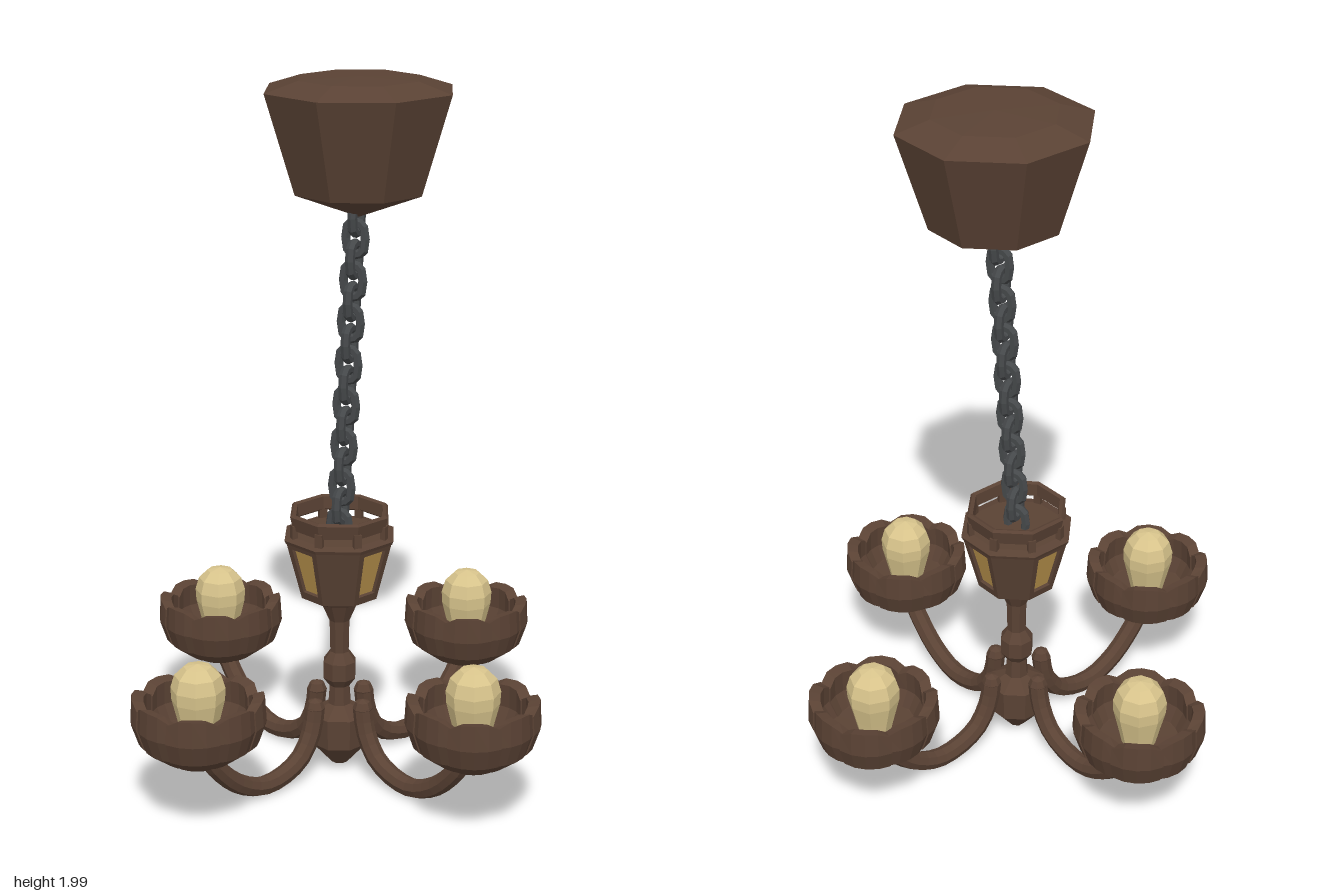
import * as THREE from 'three';

const mat = (color) => new THREE.MeshStandardMaterial({ color, flatShading: true });
const bronze = mat(0x5a4234);
const iron = mat(0x45484a);
const glass = mat(0xd8c48c);
const amber = mat(0xb8924c);
const OCT = Math.cos(Math.PI / 8);

function add(parent, name, geometry, material) {
  const mesh = new THREE.Mesh(geometry, material);
  mesh.name = name;
  parent.add(mesh);
  return mesh;
}

// Eight-sided turned form with flats on the axes; radii are given to the flats
function octagon(points) {
  const g = new THREE.LatheGeometry(points.map(([r, y]) => new THREE.Vector2(r / OCT, y)), 8);
  return g.rotateY(Math.PI / 8);
}

// Thick cup petal: a closed [radius, height] section swept through a short arc
function petalGeometry() {
  const section = [[0.04, 0.195], [0.1, 0.205], [0.162, 0.25], [0.182, 0.31], [0.178, 0.383],
    [0.146, 0.376], [0.148, 0.31], [0.12, 0.258], [0.04, 0.235]];
  const steps = 4, n = section.length, pos = [], idx = [];
  for (let i = 0; i <= steps; i++) {
    const t = i / steps * 2 - 1, a = t * 0.42;
    for (const [r, y] of section) {
      const drop = y > 0.35 ? 0.02 * t * t * Math.abs(t) : 0;
      const rr = r * (1 - 0.04 * t * t);
      pos.push(rr * Math.sin(a), y - drop, rr * Math.cos(a));
    }
  }
  for (let i = 0; i < steps; i++) {
    for (let j = 0; j < n; j++) {
      const a = i * n + j, d = i * n + (j + 1) % n, b = a + n, c = d + n;
      idx.push(a, b, d, b, c, d);
    }
  }
  // End caps follow the thickness of the section
  for (let j = 0; j < 4; j++) {
    const o = [j, j + 1, n - 2 - j, n - 1 - j], e = steps * n;
    idx.push(o[0], o[1], o[2], o[0], o[2], o[3]);
    idx.push(e + o[0], e + o[2], e + o[1], e + o[0], e + o[3], e + o[2]);
  }
  const g = new THREE.BufferGeometry();
  g.setAttribute('position', new THREE.Float32BufferAttribute(pos, 3));
  g.setIndex(idx);
  g.computeVertexNormals();
  return g;
}

function trapezoid(Type, y0, w0, y1, w1) {
  return new Type([[-w0, y0], [w0, y0], [w1, y1], [-w1, y1]].map((p) => new THREE.Vector2(...p)));
}

function buildLantern() {
  const lantern = new THREE.Group();
  lantern.name = 'lantern';
  const r0 = 0.105, r1 = 0.148, y0 = 0.54, h = 0.175;
  const slant = Math.hypot(h, r1 - r0), k = Math.tan(Math.PI / 8);
  for (let i = 0; i < 8; i++) {
    const side = new THREE.Group();
    side.name = 'lanternSide';
    side.rotation.y = i * Math.PI / 4;
    const panel = new THREE.Group();
    panel.position.set(0, y0, r0);
    panel.rotation.x = Math.atan2(r1 - r0, h);
    side.add(panel);
    lantern.add(side);
    const shape = trapezoid(THREE.Shape, 0, r0 * k, slant, r1 * k);
    const open = i % 2 === 0;
    if (open) shape.holes.push(trapezoid(THREE.Path, 0.024, 0.03, slant - 0.02, 0.041));
    const wall = new THREE.ExtrudeGeometry(shape, { depth: 0.014, bevelEnabled: false });
    add(panel, open ? 'windowFrame' : 'wallPanel', wall.translate(0, 0, -0.014), bronze);
    if (open) {
      const pane = new THREE.ShapeGeometry(trapezoid(THREE.Shape, 0.02, 0.031, slant - 0.016, 0.042));
      add(panel, 'windowPane', pane.translate(0, 0, -0.01), amber);
    }
    // Posts at the corners carry the crown ring
    const post = add(lantern, 'crownPost', new THREE.BoxGeometry(0.022, 0.05, 0.016), bronze);
    const a = (i + 0.5) * Math.PI / 4;
    post.position.set(Math.sin(a) * 0.136, 0.735, Math.cos(a) * 0.136);
    post.rotation.y = a;
  }
  add(lantern, 'lanternLid', octagon([[0, 0.7], [0.148, 0.708], [0.152, 0.718], [0.125, 0.724], [0, 0.724]]), bronze);
  add(lantern, 'crownRing', octagon([[0.118, 0.752], [0.128, 0.745], [0.136, 0.785], [0.13, 0.792],
    [0.12, 0.788], [0.118, 0.752]]), bronze);
  return lantern;
}

function buildChain() {
  const chain = new THREE.Group();
  chain.name = 'chain';
  const link = new THREE.TorusGeometry(0.029, 0.0135, 6, 12);
  const p = link.attributes.position;
  // Pull the halves of the ring apart into an oval
  for (let i = 0; i < p.count; i++) {
    const y = p.getY(i);
    if (Math.abs(y) > 1e-4) p.setY(i, y + Math.sign(y) * Math.min(0.016, Math.abs(y) * 2));
  }
  const count = 16;
  for (let i = 0; i < count; i++) {
    const t = i / (count - 1);
    const mesh = add(chain, 'chainLink', link, iron);
    mesh.position.set(0.014 * t, 0.74 + 0.88 * t, -0.05 * t);
    mesh.rotation.y = 0.4 + (i % 2) * Math.PI / 2;
  }
  return chain;
}

export function createModel() {
  const model = new THREE.Group();
  model.name = 'chandelier';

  // Ceiling canopy, hanging slightly off centre
  const canopy = add(model, 'canopy', octagon([[0, 1.62], [0.17, 1.69], [0.248, 1.965], [0.16, 1.995], [0, 2]]), bronze);
  canopy.position.set(0.018, 0, -0.055);
  model.add(buildChain());

  const body = new THREE.Group();
  body.name = 'lampBody';
  body.rotation.y = 0.012;
  model.add(body);
  body.add(buildLantern());

  // Stem with bead, hub and pointed finial
  add(body, 'stem', octagon([[0, 0.01], [0.022, 0.02], [0.075, 0.085], [0.078, 0.175], [0.032, 0.205], [0.028, 0.26],
    [0.045, 0.285], [0.045, 0.335], [0.026, 0.365], [0.028, 0.46], [0.05, 0.515], [0.105, 0.54], [0, 0.545]]), bronze);

  // Four arms with petal cups and bulbs
  const curve = new THREE.CatmullRomCurve3([[0.096, 0.215], [0.108, 0.15], [0.15, 0.08], [0.215, 0.045],
    [0.3, 0.037], [0.39, 0.075], [0.465, 0.145], [0.515, 0.215]].map(([d, y]) => new THREE.Vector3(0, y, d)));
  const armGeo = new THREE.TubeGeometry(curve, 16, 0.028, 8);
  const tipGeo = new THREE.SphereGeometry(0.029, 8, 4).translate(0, 0.215, 0.096);
  const petalGeo = petalGeometry();
  const bowlGeo = octagon([[0, 0.198], [0.09, 0.206], [0.145, 0.25], [0.15, 0.285], [0.12, 0.265], [0, 0.262]]);
  const bulbGeo = new THREE.LatheGeometry([[0.045, 0.255], [0.058, 0.31], [0.073, 0.37], [0.075, 0.405], [0.064, 0.442],
    [0.038, 0.467], [0, 0.475]].map((p) => new THREE.Vector2(...p)), 8);
  for (let i = 0; i < 4; i++) {
    const arm = new THREE.Group();
    arm.name = 'arm';
    arm.rotation.y = i * Math.PI / 2;
    body.add(arm);
    add(arm, 'armTube', armGeo, bronze);
    add(arm, 'armTip', tipGeo, bronze);
    const cup = new THREE.Group();
    cup.name = 'cup';
    cup.position.z = 0.526;
    arm.add(cup);
    add(cup, 'bowl', bowlGeo, bronze);
    add(cup, 'bulb', bulbGeo, glass);
    for (let j = 0; j < 8; j++) {
      const petal = add(cup, 'petal', petalGeo, bronze);
      petal.rotation.y = j * Math.PI / 4;
      const s = j % 2 ? 1.02 : 0.99;
      petal.scale.set(s, 1, s);
    }
  }
  return model;
}
